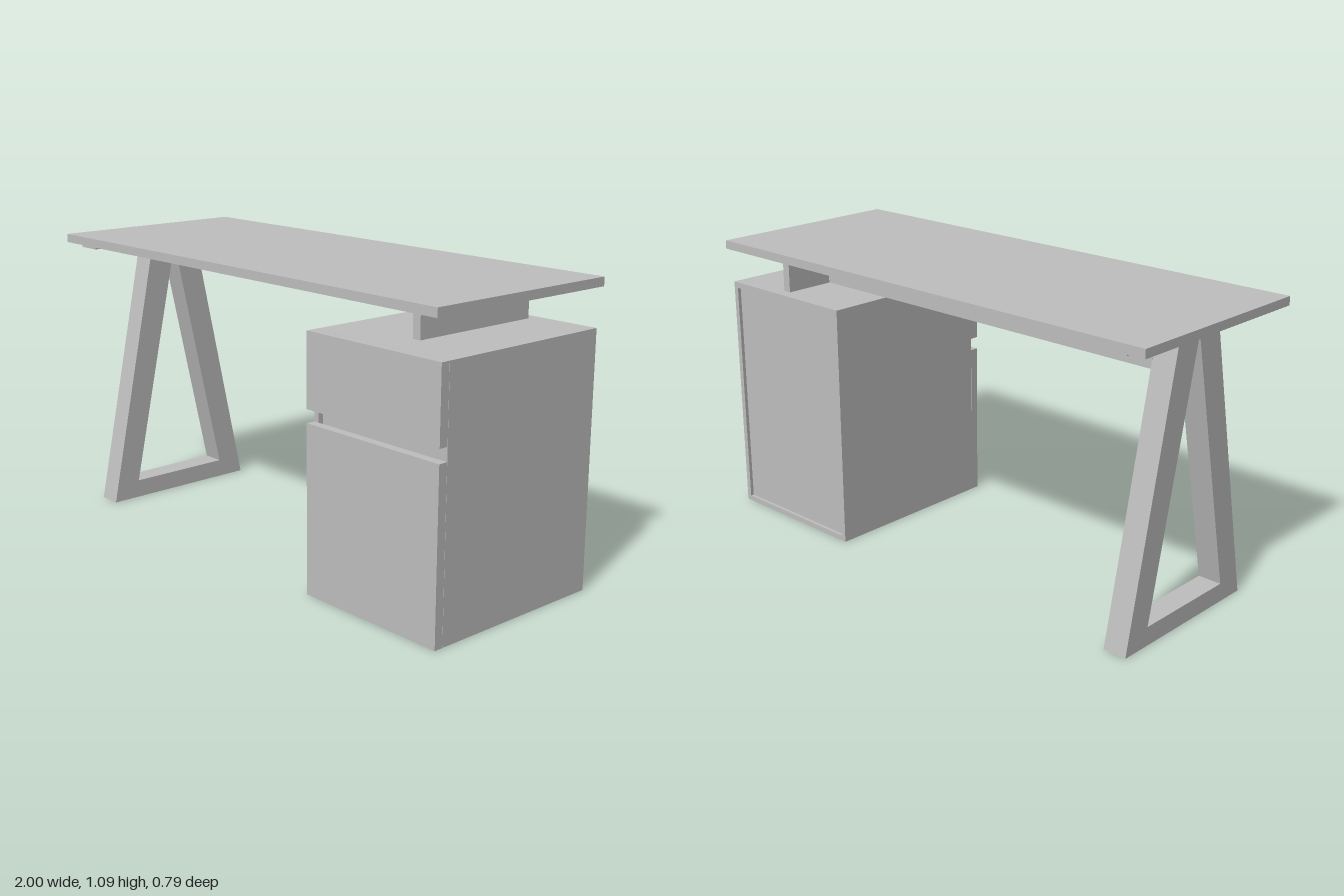
import * as THREE from 'three';

export function createModel() {
  const desk = new THREE.Group();
  desk.name = 'desk';
  const grey = new THREE.MeshStandardMaterial({ color: 0xbfbfbf });
  grey.name = 'plain grey';

  function add(name, geometry, parent = desk) {
    const mesh = new THREE.Mesh(geometry, grey);
    mesh.name = name;
    parent.add(mesh);
    return mesh;
  }

  // Box given by its limits on each axis
  function panel(name, [x0, x1], [y0, y1], [z0, z1], parent) {
    const mesh = add(name, new THREE.BoxGeometry(x1 - x0, y1 - y0, z1 - z0), parent);
    mesh.position.set((x0 + x1) / 2, (y0 + y1) / 2, (z0 + z1) / 2);
    return mesh;
  }

  panel('tabletop', [-1, 1], [1.055, 1.087], [-0.393, 0.393]);

  // Drawer cabinet: open carcass with a recessed back and overlaid fronts
  const cabinet = new THREE.Group();
  cabinet.name = 'cabinet';
  desk.add(cabinet);
  const depth = [-0.365, 0.335];
  const inside = [0.42, 0.98];
  panel('cabinetTop', [0.4, 1], [0.898, 0.92], depth, cabinet);
  panel('cabinetBottom', inside, [0, 0.02], depth, cabinet);
  panel('cabinetSide', [0.4, 0.42], [0, 0.898], depth, cabinet);
  panel('cabinetSide', [0.98, 1], [0, 0.898], depth, cabinet);
  panel('cabinetBack', inside, [0.02, 0.898], [-0.352, -0.338], cabinet);
  panel('cabinetDivider', inside, [0.585, 0.675], [-0.338, 0.315], cabinet);
  panel('drawerFront', [0.4, 1], [0.655, 0.92], [0.336, 0.37], cabinet);
  panel('doorFront', [0.4, 1], [0, 0.607], [0.336, 0.37], cabinet);

  // Rail under the top and the upright that rests on the cabinet
  panel('rail', [-0.83, 0.717], [0.921, 1.055], [-0.125, -0.09]);
  panel('railSupport', [0.717, 0.75], [0.92, 1.055], [-0.32, 0.203]);
  for (const y of [0.957, 1.02]) {
    const screw = add('screw', new THREE.CylinderGeometry(0.013, 0.013, 0.006, 16));
    screw.rotation.x = Math.PI / 2;
    screw.position.set(0.682, y, -0.088);
  }

  // A-frame leg, drawn in the z-y plane and extruded along x
  const frame = new THREE.Shape([
    [-0.325, 0], [0.325, 0], [0.105, 1.045], [-0.105, 1.045],
  ].map(([z, y]) => new THREE.Vector2(z, y)));
  frame.holes.push(new THREE.Path([
    [-0.21, 0.07], [0, 1.03], [0.21, 0.07],
  ].map(([z, y]) => new THREE.Vector2(z, y))));
  const leg = add('leg', new THREE.ExtrudeGeometry(frame, { depth: 0.09, bevelEnabled: false }));
  leg.rotation.y = Math.PI / 2;
  leg.position.x = -0.92;

  panel('legPlate', [-0.92, -0.83], [1.043, 1.055], [-0.375, 0.375]);

  return desk;
}
